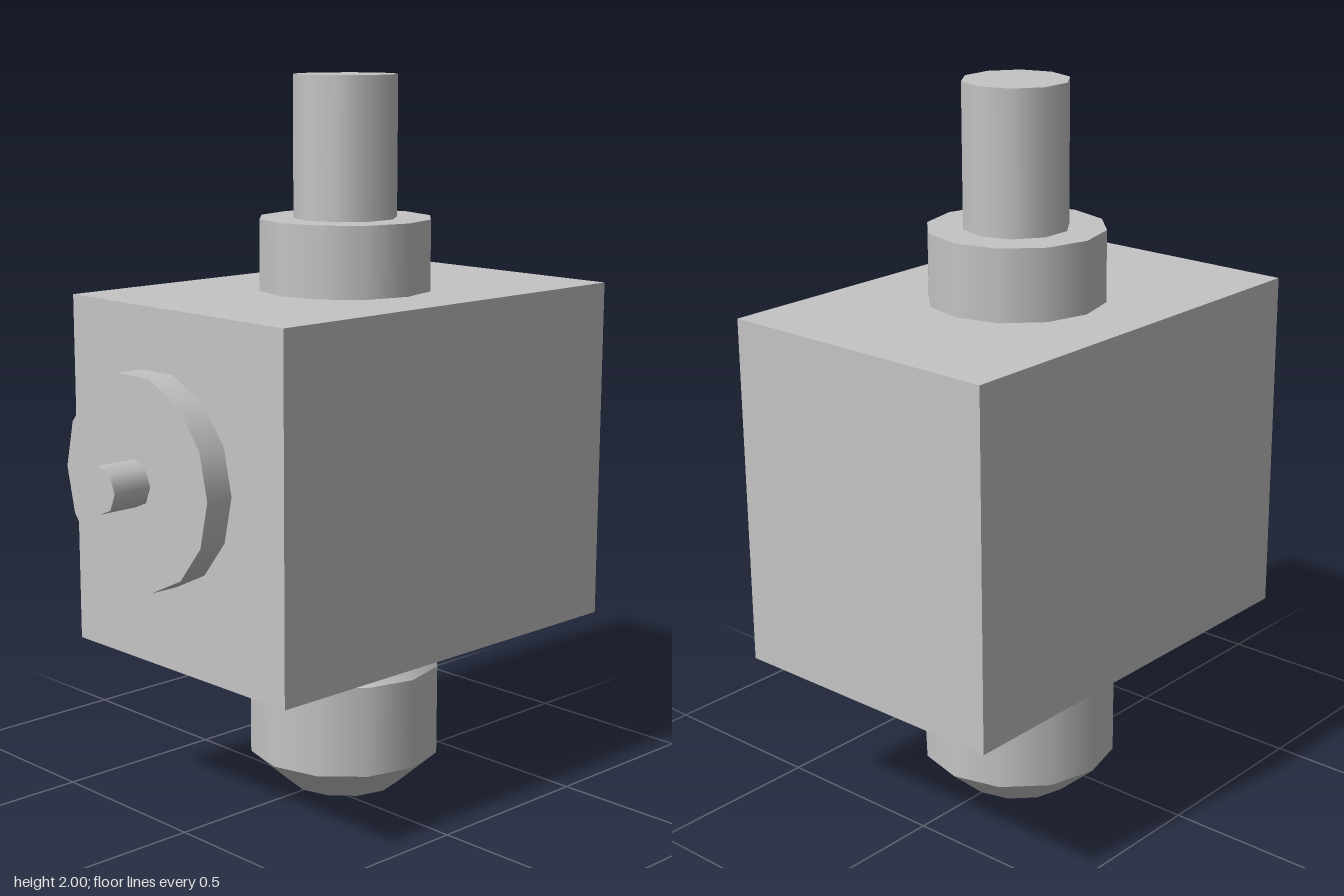
import * as THREE from 'three';

export function createModel() {
  const model = new THREE.Group();
  const grey = new THREE.MeshStandardMaterial({ color: 0xc4c4c4 });
  grey.name = 'light grey';

  function add(name, geometry, x, y, z) {
    const mesh = new THREE.Mesh(geometry, grey);
    mesh.name = name;
    mesh.position.set(x, y, z);
    model.add(mesh);
  }

  // Housing block
  const front = 0.515, back = -0.71, bottom = 0.457, top = 1.42;
  add('housing', new THREE.BoxGeometry(0.835, top - bottom, front - back),
    0, (bottom + top) / 2, (front + back) / 2);

  // Upright parts: name, lower radius, upper radius, lower y, upper y, sides, open ended
  const uprights = [
    ['footChamfer', 0.16, 0.273, 0, 0.1, 12, true],
    ['footBarrel', 0.273, 0.273, 0.1, 0.357, 12, true],
    ['footShoulder', 0.273, 0.19, 0.357, bottom, 12, true],
    ['collar', 0.24, 0.24, top, 1.615, 12, false],
    ['rod', 0.143, 0.143, 1.615, 2, 10, false],
  ];
  for (const [name, r0, r1, y0, y1, sides, open] of uprights) {
    add(name, new THREE.CylinderGeometry(r1, r0, y1 - y0, sides, 1, open), 0, (y0 + y1) / 2, -0.1);
  }

  // Underside of the foot
  add('footBase', new THREE.CircleGeometry(0.16, 12).rotateX(Math.PI / 2), 0, 0, -0.1);

  // Dial parts on the front face: name, radius, back z, front z, sides
  const dials = [
    ['dial', 0.289, front, 0.595, 14],
    ['dialPin', 0.064, 0.595, 0.71, 8],
  ];
  for (const [name, r, z0, z1, sides] of dials) {
    const geometry = new THREE.CylinderGeometry(r, r, z1 - z0, sides, 1, false, Math.PI / 2);
    add(name, geometry.rotateX(Math.PI / 2), -0.066, 0.97, (z0 + z1) / 2);
  }

  return model;
}
